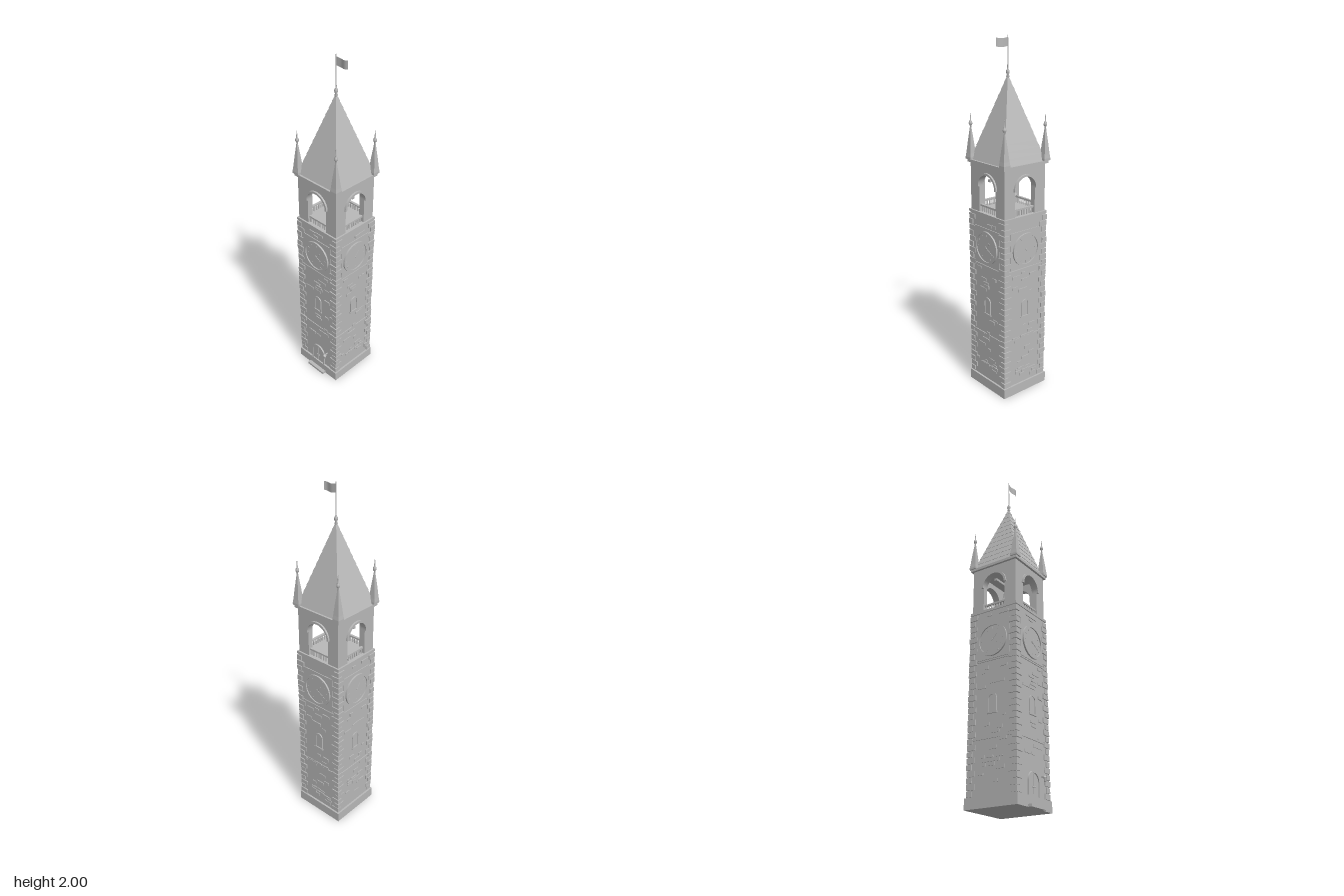
import * as THREE from 'three';

export function createModel() {
  const model = new THREE.Group();
  model.name = 'clockTower';
  const stone = new THREE.MeshStandardMaterial({ color: 0xb8b8b8, side: THREE.DoubleSide });
  stone.name = 'stone grey';

  const tower = new THREE.Group();
  tower.name = 'tower';
  tower.position.set(-0.001, 0, -0.01);
  model.add(tower);

  // small seeded generator for the uneven stonework
  let seed = 11;
  const rand = () => (seed = (seed * 16807) % 2147483647) / 2147483647;

  const add = (parent, name, geometry, x = 0, y = 0, z = 0) => {
    const m = new THREE.Mesh(geometry, stone);
    m.name = name;
    m.position.set(x, y, z);
    parent.add(m);
    return m;
  };
  // box given by its bottom and top heights
  const box = (parent, name, w, y0, y1, d, x = 0, z = 0) =>
    add(parent, name, new THREE.BoxGeometry(w, y1 - y0, d), x, (y0 + y1) / 2, z);
  const lathe = (points, sides) =>
    new THREE.LatheGeometry(points.map(p => new THREE.Vector2(...p)), sides);
  // four-sided turned shape with flat sides facing the axes
  const square = points => {
    const g = lathe(points.map(([r, y]) => [r * Math.SQRT2, y]), 4);
    g.rotateY(Math.PI / 4);
    const flat = g.toNonIndexed();
    flat.computeVertexNormals();
    return flat;
  };
  const extrude = (shape, depth) =>
    new THREE.ExtrudeGeometry(shape, { depth, bevelEnabled: false, curveSegments: 16 });
  const arch = (path, half, y0, spring) => {
    path.moveTo(-half, y0);
    path.lineTo(half, y0);
    path.lineTo(half, spring);
    path.absarc(0, spring, half, 0, Math.PI, false);
    path.lineTo(-half, y0);
    return path;
  };
  const archFrame = (half, y0, spring, t) => {
    const s = new THREE.Shape();
    s.moveTo(half, y0);
    s.lineTo(half + t, y0);
    s.lineTo(half + t, spring);
    s.absarc(0, spring, half + t, 0, Math.PI, false);
    s.lineTo(-half - t, y0);
    s.lineTo(-half, y0);
    s.lineTo(-half, spring);
    s.absarc(0, spring, half, Math.PI, 0, true);
    return s;
  };

  // plinth, shaft and string courses
  box(tower, 'plinth', 0.316, 0, 0.058, 0.316);
  box(tower, 'shaft', 0.294, 0.058, 1.065, 0.294);
  for (const y of [0.345, 0.765]) box(tower, 'stringCourse', 0.303, y - 0.004, y + 0.004, 0.303);
  box(tower, 'belfryLedge', 0.304, 1.055, 1.07, 0.304);

  // alternating corner stones
  for (const sx of [-1, 1]) for (const sz of [-1, 1]) {
    for (let i = 0; i < 30; i++) {
      const y = 0.062 + i * 0.033;
      const long = i % 2 === 0;
      const w = long ? 0.05 : 0.032, d = long ? 0.032 : 0.05;
      const out = 0.151 + rand() * 0.003;
      box(tower, 'cornerStone', w, y, y + 0.028, d, sx * (out - w / 2), sz * (out - d / 2));
    }
  }

  // features shared by all four sides
  for (let k = 0; k < 4; k++) {
    const side = new THREE.Group();
    side.name = 'side' + (k + 1);
    side.rotation.y = k * Math.PI / 2;
    tower.add(side);

    // scattered raised stones
    for (let i = 0; i < 46; i++) {
      const w = 0.02 + rand() * 0.04, h = 0.01 + rand() * 0.009;
      const x = (rand() - 0.5) * (0.2 - w);
      const y = 0.08 + Math.floor(rand() * 47) * 0.0205;
      const nearDoor = k === 0 && y < 0.21 && Math.abs(x) < 0.09;
      const nearWindow = y > 0.445 && y < 0.6 && Math.abs(x) < 0.06;
      const nearClock = y > 0.74 && y < 1.0;
      if (nearDoor || nearWindow || nearClock) continue;
      box(side, 'raisedStone', w, y, y + h, 0.008, x, 0.146 + rand() * 0.002);
    }

    // arched window with sill
    add(side, 'windowFrame', extrude(archFrame(0.021, 0.478, 0.55, 0.007), 0.008), 0, 0, 0.145);
    add(side, 'windowPane', extrude(arch(new THREE.Shape(), 0.021, 0.478, 0.55), 0.003), 0, 0, 0.1455);
    box(side, 'windowSill', 0.064, 0.47, 0.479, 0.014, 0, 0.147);

    // clock: backing panel, dial, rim, hour marks and hands
    box(side, 'clockPanel', 0.21, 0.772, 0.988, 0.008, 0, 0.147);
    const clock = new THREE.Group();
    clock.name = 'clock';
    clock.position.set(0, 0.878, 0.151);
    side.add(clock);
    const dial = add(clock, 'dial', new THREE.CylinderGeometry(0.084, 0.084, 0.004, 40), 0, 0, 0.001);
    dial.rotation.x = Math.PI / 2;
    const rim = new THREE.Shape().absarc(0, 0, 0.093, 0, Math.PI * 2, false);
    rim.holes.push(new THREE.Path().absarc(0, 0, 0.082, 0, Math.PI * 2, true));
    add(clock, 'rim', new THREE.ExtrudeGeometry(rim, { depth: 0.009, bevelEnabled: false, curveSegments: 40 }));
    const radial = (name, w, r0, r1, angle, z) => {
      const g = new THREE.BoxGeometry(w, r1 - r0, 0.002);
      g.translate(0, (r0 + r1) / 2, 0);
      add(clock, name, g, 0, 0, z).rotation.z = -angle;
    };
    for (let i = 0; i < 12; i++) radial('hourMark', 0.004, 0.064, 0.076, i * Math.PI / 6, 0.0035);
    radial('hourHand', 0.006, -0.008, 0.04, 40 * Math.PI / 180, 0.0045);
    radial('minuteHand', 0.005, -0.01, 0.062, 120 * Math.PI / 180, 0.006);
    add(clock, 'hub', new THREE.CylinderGeometry(0.005, 0.005, 0.006, 12), 0, 0, 0.005).rotation.x = Math.PI / 2;

    // belfry wall with arched opening
    const wall = new THREE.Shape();
    wall.moveTo(-0.143, 1.065);
    wall.lineTo(0.143, 1.065);
    wall.lineTo(0.143, 1.345);
    wall.lineTo(-0.143, 1.345);
    wall.closePath();
    wall.holes.push(arch(new THREE.Path(), 0.07, 1.07, 1.215));
    add(side, 'belfryWall', extrude(wall, 0.03), 0, 0, 0.113);
    add(side, 'archMoulding', extrude(archFrame(0.07, 1.213, 1.215, 0.012), 0.012), 0, 0, 0.141);

    // balustrade
    box(side, 'handrail', 0.14, 1.1, 1.11, 0.014, 0, 0.128);
    for (let i = 0; i < 8; i++) {
      add(side, 'baluster', new THREE.CylinderGeometry(0.004, 0.004, 0.036, 8), -0.061 + i * 0.0174, 1.083, 0.128);
    }
  }

  // belfry ceiling, beam and bell
  box(tower, 'ceiling', 0.28, 1.315, 1.345, 0.28);
  box(tower, 'bellBeam', 0.26, 1.247, 1.261, 0.016);
  add(tower, 'bell', lathe([[0.001, 1.236], [0.016, 1.234], [0.027, 1.226], [0.031, 1.205],
    [0.035, 1.184], [0.045, 1.168], [0.053, 1.158], [0.053, 1.152], [0.045, 1.154],
    [0.03, 1.184], [0.024, 1.218], [0.001, 1.226]], 32));
  add(tower, 'bellCrown', new THREE.CylinderGeometry(0.009, 0.012, 0.018, 12), 0, 1.24, 0);
  add(tower, 'clapperRod', new THREE.CylinderGeometry(0.003, 0.003, 0.08, 8), 0, 1.185, 0);
  add(tower, 'clapper', new THREE.SphereGeometry(0.009, 12, 8), 0, 1.146, 0);

  // cornice and roof of overlapping courses
  box(tower, 'cornice', 0.312, 1.337, 1.352, 0.312);
  const courses = 12, roof = [[0.001, 1.352]];
  for (let i = 0; i < courses; i++) {
    const a = i / courses, b = (i + 1) / courses;
    roof.push([0.142 * (1 - a) + 0.003, 1.352 + 0.446 * a]);
    roof.push([0.142 * (1 - b) + 0.001, 1.352 + 0.446 * b]);
  }
  add(tower, 'roof', square(roof));

  // corner pinnacles
  for (const sx of [-1, 1]) for (const sz of [-1, 1]) {
    const p = new THREE.Group();
    p.name = 'pinnacle';
    p.position.set(sx * 0.141, 0, sz * 0.141);
    tower.add(p);
    add(p, 'pinnacleSpire', square([[0.001, 1.352], [0.021, 1.352], [0.021, 1.364],
      [0.018, 1.385], [0.012, 1.445], [0.003, 1.525], [0.001, 1.525]]));
    add(p, 'pinnacleFinial', lathe([[0.003, 1.515], [0.004, 1.532], [0.009, 1.54], [0.01, 1.546],
      [0.008, 1.554], [0.004, 1.56], [0.003, 1.575], [0.001, 1.6]], 12));
  }

  // roof finial, pole and waving flag
  add(tower, 'finial', lathe([[0.004, 1.785], [0.009, 1.792], [0.005, 1.8], [0.01, 1.812],
    [0.009, 1.822], [0.004, 1.83], [0.003, 1.84]], 16));
  add(tower, 'flagPole', new THREE.CylinderGeometry(0.002, 0.0035, 0.2, 10), 0, 1.9, 0);
  const cloth = new THREE.PlaneGeometry(0.077, 0.044, 16, 1);
  const pos = cloth.attributes.position;
  for (let i = 0; i < pos.count; i++) {
    const t = pos.getX(i) / 0.077 + 0.5;
    pos.setZ(i, -0.006 * Math.sin(t * Math.PI * 2) * t);
    pos.setY(i, pos.getY(i) - 0.004 * Math.sin(t * Math.PI));
  }
  cloth.computeVertexNormals();
  add(tower, 'flag', cloth, 0.0395, 1.967, 0);

  // front door with frame, centre joint strip and handle
  add(tower, 'doorFrame', extrude(archFrame(0.042, 0.058, 0.132, 0.01), 0.012), 0, 0, 0.144);
  add(tower, 'doorLeaf', extrude(arch(new THREE.Shape(), 0.042, 0.058, 0.132), 0.004), 0, 0, 0.146);
  box(tower, 'doorStrip', 0.003, 0.058, 0.172, 0.003, 0, 0.151);
  for (const sx of [-1, 1]) {
    add(tower, 'doorHandle', new THREE.SphereGeometry(0.004, 8, 6), sx * 0.008, 0.105, 0.152);
  }
  box(tower, 'doorStep', 0.132, 0, 0.014, 0.04, 0, 0.16);

  // wall lantern beside the door
  box(tower, 'lanternBracket', 0.006, 0.166, 0.171, 0.026, 0.075, 0.159);
  add(tower, 'lantern', new THREE.CylinderGeometry(0.009, 0.006, 0.022, 6), 0.075, 0.153, 0.17);
  add(tower, 'lanternCap', new THREE.ConeGeometry(0.011, 0.01, 6), 0.075, 0.169, 0.17);
  return model;
}
